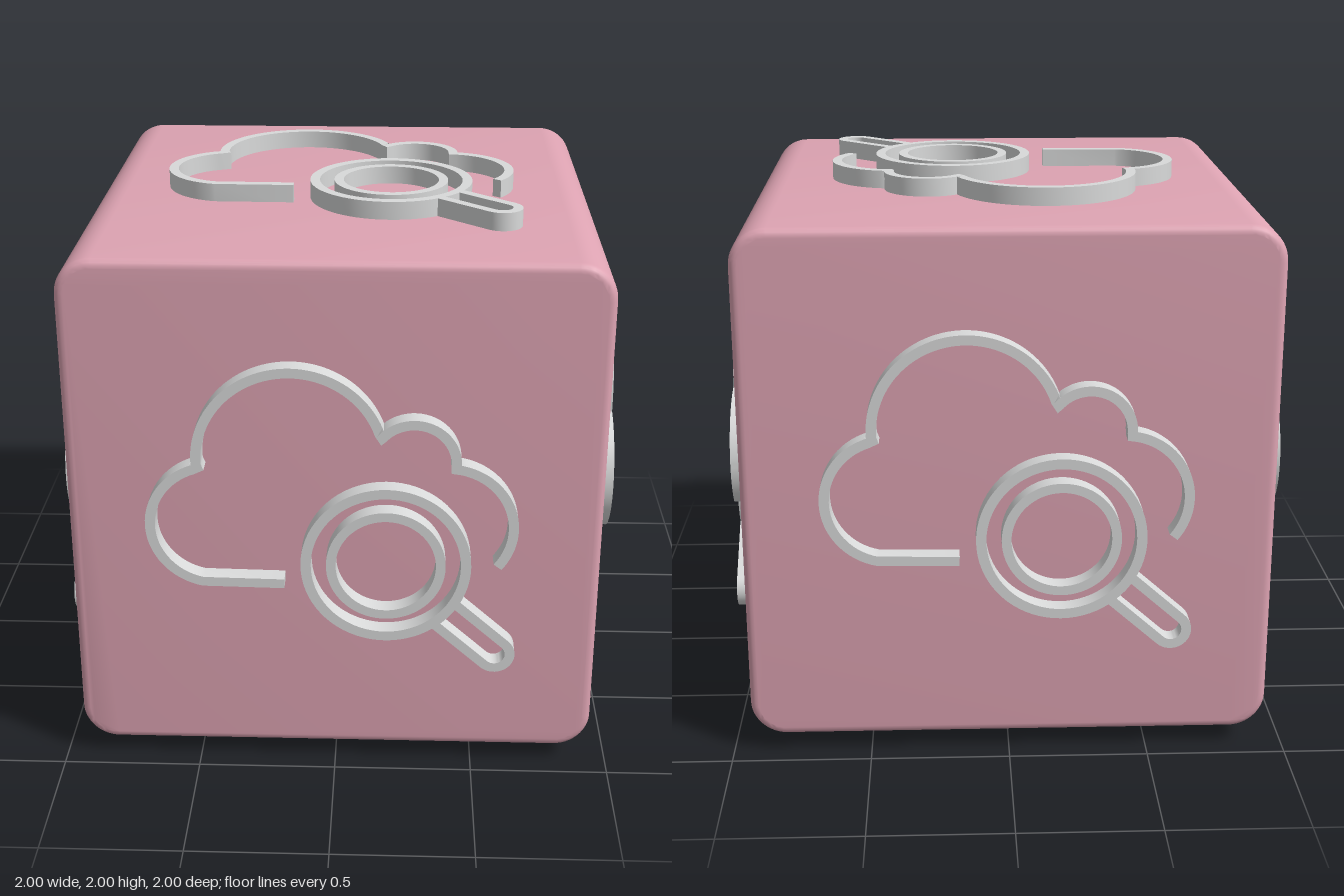
import * as THREE from 'three';
import { toCreasedNormals } from 'three/addons/utils/BufferGeometryUtils.js';

const HALF = 0.935;   // half size of the cube
const STROKE = 0.035; // width of the raised lines
const V = (x, y) => new THREE.Vector2(x, y);

// Points along an arc, angles in degrees
function arc(cx, cy, r, from, to, n = 32) {
  return Array.from({ length: n + 1 }, (_, i) => {
    const a = THREE.MathUtils.degToRad(from + (to - from) * i / n);
    return V(cx + r * Math.cos(a), cy + r * Math.sin(a));
  });
}

// Outline of an open line of constant width, with blunted outer corners
function strokeShape(path) {
  const p = path.filter((q, i) => i === 0 || q.distanceTo(path[i - 1]) > 0.004);
  const left = [], right = [];
  p.forEach((q, i) => {
    const a = p[Math.max(i - 1, 0)], b = p[Math.min(i + 1, p.length - 1)];
    let d0 = q.clone().sub(a), d1 = b.clone().sub(q);
    if (i === 0) d0 = d1.clone();
    if (i === p.length - 1) d1 = d0.clone();
    d0.normalize();
    d1.normalize();
    const t = d0.clone().add(d1).normalize();
    const n = V(-t.y, t.x);
    const miter = 1 / Math.max(t.dot(d0), 0.4);
    const turn = d0.cross(d1);
    const blunt = Math.min(miter, 1.15);
    left.push(q.clone().addScaledVector(n, STROKE / 2 * (turn < 0 ? blunt : miter)));
    right.push(q.clone().addScaledVector(n, -STROKE / 2 * (turn > 0 ? blunt : miter)));
  });
  return new THREE.Shape([...left, ...right.reverse()]);
}

function ringShape(cx, cy, outer, inner) {
  const shape = new THREE.Shape().absarc(cx, cy, outer, 0, Math.PI * 2);
  shape.holes.push(new THREE.Path().absarc(cx, cy, inner, 0, Math.PI * 2, true));
  return shape;
}

// Raised relief from just under the cube face out to distance 1
function relief(shape) {
  const geo = new THREE.ExtrudeGeometry(shape, { depth: 0.08, bevelEnabled: false, curveSegments: 36 });
  geo.translate(0, 0, 0.92);
  return toCreasedNormals(geo, 0.5);
}

function cubeGeometry() {
  const bevel = 0.03, h = HALF - bevel, r = 0.1, c = h - r;
  const shape = new THREE.Shape([
    ...arc(c, c, r, 0, 90, 12), ...arc(-c, c, r, 90, 180, 12),
    ...arc(-c, -c, r, 180, 270, 12), ...arc(c, -c, r, 270, 360, 12),
  ]);
  const geo = new THREE.ExtrudeGeometry(shape, {
    depth: 2 * h, bevelEnabled: true, bevelSize: bevel, bevelThickness: bevel, bevelSegments: 5,
  });
  geo.translate(0, 0, -h);
  return toCreasedNormals(geo, 0.6);
}

export function createModel() {
  const pink = new THREE.MeshStandardMaterial({ color: 0xdda3b2 });
  pink.name = 'pink';
  const grey = new THREE.MeshStandardMaterial({ color: 0xd9dada });
  grey.name = 'light grey';

  const model = new THREE.Group();
  model.name = 'cloudSearchCube';
  const add = (parent, name, geo, mat) => {
    const mesh = new THREE.Mesh(geo, mat);
    mesh.name = name;
    parent.add(mesh);
  };

  const body = new THREE.Group();
  body.name = 'cube';
  body.position.y = 1;
  model.add(body);
  add(body, 'cubeBody', cubeGeometry(), pink);

  // Cloud: base line, left lobe, large top lobe, small lobe, right lobe
  const cloud = strokeShape([
    V(-0.175, -0.23),
    ...arc(-0.414, -0.005, 0.225, 258, 103),
    ...arc(-0.15, 0.246, 0.322, 184, 15, 48),
    ...arc(0.273, 0.241, 0.144, 140, -8),
    ...arc(0.39, -0.005, 0.23, 83, -39),
  ]);

  // Magnifier handle: a U joined to the outer ring
  const tip = V(0.57, -0.503), tilt = -41.6, r = 0.055;
  const along = V(Math.cos(tilt * Math.PI / 180), Math.sin(tilt * Math.PI / 180));
  const cap = arc(tip.x, tip.y, r, tilt + 90, tilt - 90, 20);
  const back = q => q.clone().addScaledVector(along, -0.25);
  const handle = strokeShape([back(cap[0]), ...cap, back(cap[cap.length - 1])]);

  const parts = {
    cloud: relief(cloud),
    lensRim: relief(ringShape(0.18, -0.155, 0.298, 0.262)),
    lensInnerRing: relief(ringShape(0.18, -0.155, 0.209, 0.175)),
    handle: relief(handle),
  };

  // The same relief on all six faces
  const q = Math.PI / 2;
  const faces = {
    front: [0, 0], left: [0, q], back: [0, 2 * q], right: [0, -q], top: [-q, 0], bottom: [q, 0],
  };
  for (const [face, [rx, ry]] of Object.entries(faces)) {
    const emblem = new THREE.Group();
    emblem.name = `${face}Relief`;
    emblem.rotation.set(rx, ry, 0);
    for (const [name, geo] of Object.entries(parts)) add(emblem, name, geo, grey);
    body.add(emblem);
  }
  return model;
}
